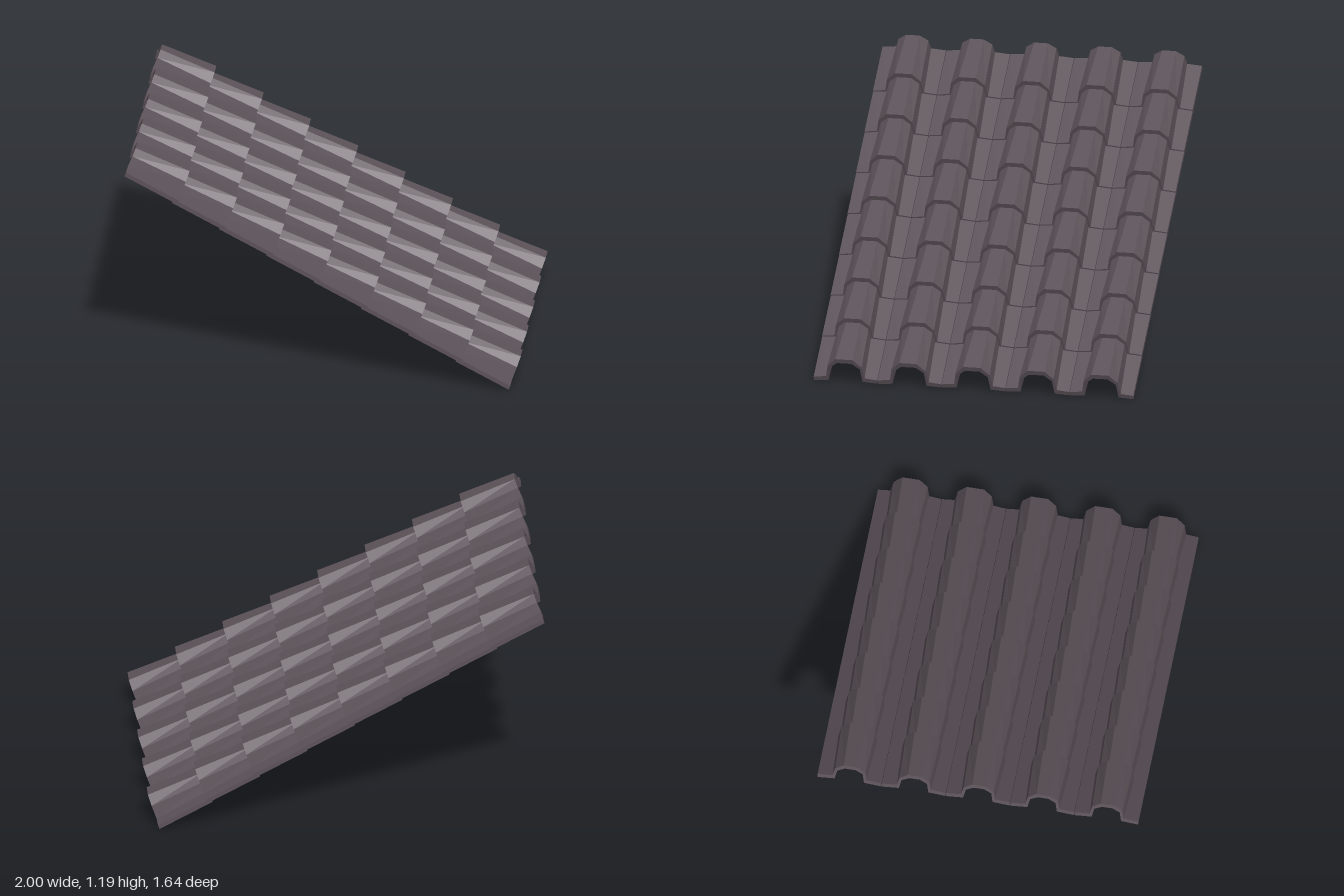
import * as THREE from 'three';

const ROWS = 8, COLUMNS = 5;
const STEP_X = 0.24, STEP_Y = 0.135, PITCH_Z = 0.3285;

// Half profiles as [z, height above the slope], from the pan edge to the crown.
const upperEnd = {
  origin: [0.68, 0.145], up: [0.394, 0.919],
  outer: [[0.163, 0.022], [0.087, 0.03], [0.077, 0.082], [0.035, 0.113]],
  inner: [[0.163, 0], [0.075, 0.008], [0.065, 0.068], [0.027, 0.091]],
};
const lowerEnd = {
  origin: [0.949, 0.002], up: [0.347, 0.938],
  outer: [[0.163, 0.022], [0.099, 0.03], [0.087, 0.1], [0.044, 0.145]],
  inner: [[0.163, 0], [0.087, 0.006], [0.077, 0.087], [0.038, 0.12]],
};

// Mirrors a half profile and places it in the plane of a tile end.
function section(end, half) {
  const mirrored = half.slice().reverse().map(([z, h]) => [-z, h]);
  return [...half, ...mirrored].map(([z, h]) => new THREE.Vector3(
    end.origin[0] + end.up[0] * h, end.origin[1] + end.up[1] * h, z));
}

// One solid roof tile: a tapering arch with a flat pan on each side.
function tileGeometry() {
  const uo = section(upperEnd, upperEnd.outer), ui = section(upperEnd, upperEnd.inner);
  const lo = section(lowerEnd, lowerEnd.outer), li = section(lowerEnd, lowerEnd.inner);
  const points = [];
  const quad = (a, b, c, d) => points.push(a, b, c, a, c, d);
  const last = uo.length - 1;
  for (let i = 0; i < last; i++) {
    const j = i + 1;
    quad(uo[i], lo[i], lo[j], uo[j]); // weather side
    quad(ui[i], ui[j], li[j], li[i]); // underside
    quad(uo[i], uo[j], ui[j], ui[i]); // upper end
    quad(lo[i], li[i], li[j], lo[j]); // lower end
  }
  quad(uo[0], ui[0], li[0], lo[0]); // +z edge
  quad(uo[last], lo[last], li[last], ui[last]); // -z edge
  const geometry = new THREE.BufferGeometry().setFromPoints(points);
  geometry.computeVertexNormals();
  return geometry;
}

export function createModel() {
  const roof = new THREE.Group();
  roof.name = 'tiledRoof';
  const geometry = tileGeometry();
  const material = new THREE.MeshStandardMaterial({ color: 0x5c5259, flatShading: true });

  // Overlapping courses climb from the eave towards -x.
  for (let row = 0; row < ROWS; row++) {
    const course = new THREE.Group();
    course.name = `tileCourse${row + 1}`;
    course.position.set(-row * STEP_X, row * STEP_Y, 0);
    for (let col = 0; col < COLUMNS; col++) {
      const tile = new THREE.Mesh(geometry, material);
      tile.name = 'roofTile';
      tile.position.z = (col - (COLUMNS - 1) / 2) * PITCH_Z;
      course.add(tile);
    }
    roof.add(course);
  }
  return roof;
}
